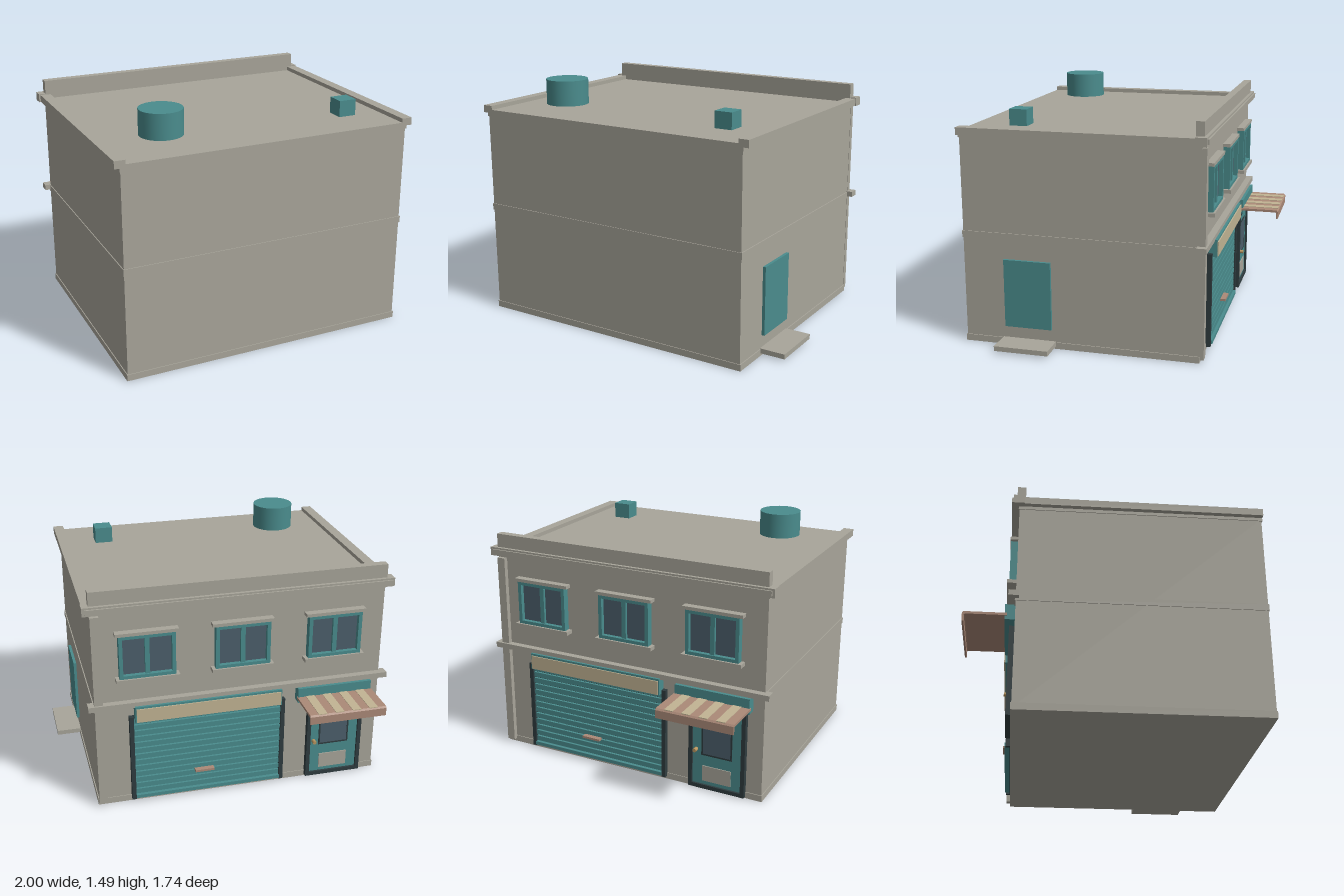
import * as THREE from 'three';

const mat = (name, color) => {
  const m = new THREE.MeshStandardMaterial({ color });
  m.name = name;
  return m;
};

export function createModel() {
  const wall = mat('wall grey', 0xa8a59a);
  const teal = mat('teal paint', 0x4a8c8d);
  const glass = mat('dark glass', 0x4c5f6b);
  const dark = mat('dark trim', 0x2f3c3f);
  const brown = mat('awning brown', 0xab8a78);
  const cream = mat('cream', 0xc2b494);
  const brass = mat('brass', 0xb8955f);

  const root = new THREE.Group();
  root.name = 'shopBuilding';
  const group = (name) => {
    const g = new THREE.Group();
    g.name = name;
    root.add(g);
    return g;
  };

  // Box given by its limits on each axis
  const box = (parent, name, m, x0, x1, y0, y1, z0, z1) => {
    const mesh = new THREE.Mesh(new THREE.BoxGeometry(x1 - x0, y1 - y0, z1 - z0), m);
    mesh.position.set((x0 + x1) / 2, (y0 + y1) / 2, (z0 + z1) / 2);
    mesh.name = name;
    parent.add(mesh);
    return mesh;
  };

  // Rectangular frame with an opening, extruded along z
  const frame = (parent, name, m, x0, x1, y0, y1, z0, z1, b) => {
    const ring = (P, d) => new P([[x0 + d, y0 + d], [x1 - d, y0 + d], [x1 - d, y1 - d], [x0 + d, y1 - d]]
      .map(([x, y]) => new THREE.Vector2(x, y)));
    const s = ring(THREE.Shape, 0);
    s.holes.push(ring(THREE.Path, b));
    const mesh = new THREE.Mesh(new THREE.ExtrudeGeometry(s, { depth: z1 - z0, bevelEnabled: false }), m);
    mesh.position.z = z0;
    mesh.name = name;
    parent.add(mesh);
  };

  // Main volume with base course, floor band and roof slab
  const shell = group('shell');
  box(shell, 'walls', wall, -0.955, 0.84, 0.01, 1.28, -0.575, 0.866);
  box(shell, 'baseCourse', wall, -0.96, 0.846, 0, 0.04, -0.58, 0.871);
  box(shell, 'floorBand', wall, -0.96, 0.846, 0.66, 0.7, -0.58, 0.871);
  box(shell, 'roofSlab', wall, -0.96, 0.846, 1.265, 1.305, -0.58, 0.871);
  box(shell, 'cornerPilaster', wall, 0.79, 0.842, 0.02, 1.27, -0.605, -0.57);

  // Roof edges, cornices and parapet
  box(shell, 'roofRim', wall, -0.99, -0.925, 1.285, 1.33, -0.57, 0.871);
  box(shell, 'roofRim', wall, 0.815, 0.88, 1.285, 1.33, -0.57, 0.871);
  box(shell, 'topCornice', wall, -1, 0.885, 1.283, 1.336, -0.61, -0.545);
  box(shell, 'topCorniceLip', wall, -0.985, 0.87, 1.295, 1.325, -0.62, -0.61);
  box(shell, 'midCornice', wall, -0.995, 0.88, 0.672, 0.706, -0.617, -0.557);
  box(shell, 'parapet', wall, -0.958, 0.845, 1.29, 1.42, -0.59, -0.54);

  // Roof equipment
  const roof = group('roofEquipment');
  const tank = new THREE.Mesh(new THREE.CylinderGeometry(0.13, 0.13, 0.155, 32), teal);
  tank.position.set(-0.592, 1.4075, 0.54);
  tank.name = 'waterTank';
  roof.add(tank);
  box(roof, 'ventBox', teal, 0.527, 0.638, 1.31, 1.41, 0.52, 0.63);

  // Side door and step
  const side = group('sideEntrance');
  box(side, 'sideDoor', teal, 0.835, 0.858, 0.12, 0.54, 0.318, 0.61);
  box(side, 'sideStep', wall, 0.84, 1, 0.015, 0.045, 0.295, 0.63);

  // Upper windows
  for (const x of [-0.635, -0.058, 0.519]) {
    const w = group('window');
    box(w, 'windowGlass', glass, x - 0.15, x + 0.15, 0.88, 1.13, -0.592, -0.574);
    frame(w, 'windowFrame', teal, x - 0.168, x + 0.168, 0.866, 1.142, -0.619, -0.574, 0.022);
    box(w, 'windowMullion', teal, x - 0.014, x + 0.014, 0.88, 1.13, -0.61, -0.585);
    box(w, 'windowHead', wall, x - 0.188, x + 0.188, 1.14, 1.16, -0.622, -0.574);
    box(w, 'windowSill', wall, x - 0.19, x + 0.19, 0.845, 0.868, -0.631, -0.574);
  }

  // Roller shutter with tracks, slats and handle
  const shutter = group('rollerShutter');
  box(shutter, 'shutterBacking', dark, -0.31, 0.62, 0.02, 0.6, -0.582, -0.572);
  for (const x of [-0.335, 0.612]) box(shutter, 'shutterTrack', dark, x, x + 0.026, 0.02, 0.6, -0.607, -0.572);
  const slats = 13, pitch = 0.535 / slats;
  for (let i = 0; i < slats; i++) {
    const y = 0.055 + i * pitch;
    box(shutter, 'shutterSlat', teal, -0.309, 0.612, y, y + pitch - 0.009, -0.597, -0.576);
  }
  box(shutter, 'shutterBottomBar', teal, -0.309, 0.612, 0.03, 0.052, -0.614, -0.576);
  box(shutter, 'shutterHandle', brown, 0.12, 0.24, 0.17, 0.184, -0.63, -0.595);

  // Blank fascia above the shutter
  box(shutter, 'fasciaBox', teal, -0.305, 0.605, 0.575, 0.68, -0.632, -0.572);
  box(shutter, 'fasciaPanel', cream, -0.298, 0.598, 0.58, 0.667, -0.639, -0.631);

  // Shop door
  const door = group('shopDoor');
  frame(door, 'doorFrame', dark, -0.855, -0.49, 0.01, 0.55, -0.607, -0.572, 0.025);
  box(door, 'doorLeaf', teal, -0.832, -0.512, 0.025, 0.53, -0.594, -0.572);
  frame(door, 'doorGlassTrim', dark, -0.77, -0.572, 0.23, 0.465, -0.598, -0.59, 0.01);
  box(door, 'doorGlass', glass, -0.762, -0.58, 0.238, 0.457, -0.597, -0.59);
  box(door, 'kickPlate', wall, -0.765, -0.58, 0.06, 0.16, -0.6, -0.593);
  const knob = new THREE.Mesh(new THREE.CylinderGeometry(0.012, 0.012, 0.034, 12).rotateX(Math.PI / 2), brass);
  knob.position.set(-0.538, 0.262, -0.609);
  knob.name = 'doorKnob';
  door.add(knob);

  // Striped awning with a hanging valance
  const awning = group('awning');
  box(awning, 'awningMount', teal, -0.885, -0.41, 0.575, 0.67, -0.634, -0.572);
  const profile = new THREE.Shape();
  [[0.62, 0.598], [0.855, 0.598], [0.862, 0.592], [0.862, 0.553], [0.873, 0.553], [0.873, 0.603], [0.864, 0.613], [0.62, 0.613]]
    .forEach(([d, y], i) => (i ? profile.lineTo(d, y) : profile.moveTo(d, y)));
  const canopy = new THREE.Mesh(
    new THREE.ExtrudeGeometry(profile, { depth: 0.485, bevelEnabled: false }).rotateY(Math.PI / 2), brown);
  canopy.position.x = -0.89;
  canopy.name = 'awningCanopy';
  awning.add(canopy);
  const stripe = 0.485 / 9;
  for (let i = 1; i < 9; i += 2) {
    const x = -0.89 + i * stripe;
    box(awning, 'awningStripe', cream, x, x + stripe, 0.611, 0.616, -0.868, -0.62);
  }
  return root;
}
